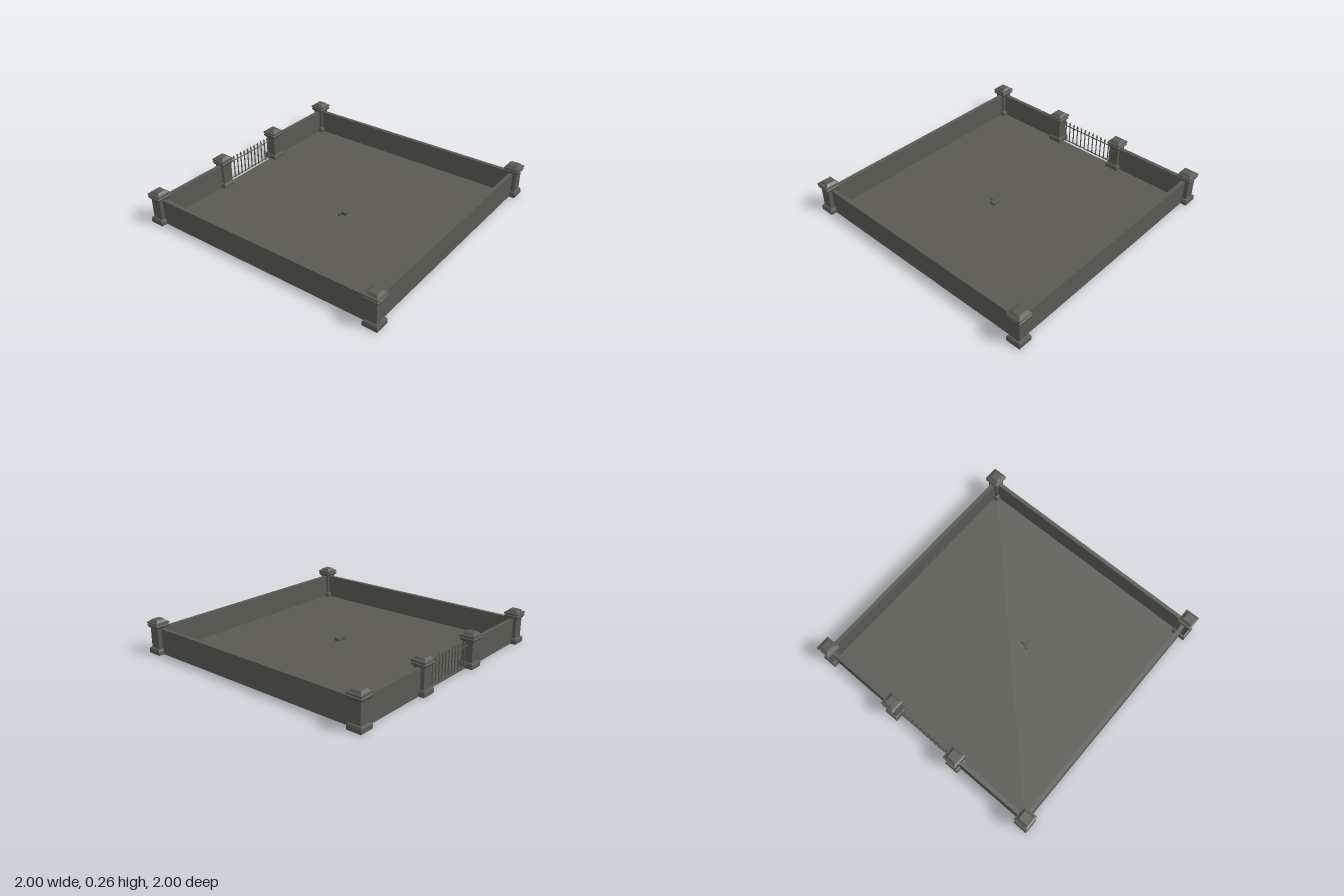
import * as THREE from 'three';

export function createModel() {
  const model = new THREE.Group();
  model.name = 'walledYard';
  const stone = new THREE.MeshStandardMaterial({ color: 0x5a5a53, flatShading: true });
  stone.name = 'darkStone';

  const add = (geometry, name, x, y, z, parent = model) => {
    const mesh = new THREE.Mesh(geometry, stone);
    mesh.name = name;
    mesh.position.set(x, y, z);
    parent.add(mesh);
    return mesh;
  };
  // Box placed by its centre in plan and by its underside
  const box = (name, w, h, d, x, y, z, parent) =>
    add(new THREE.BoxGeometry(w, h, d), name, x, y + h / 2, z, parent);

  // Ground slab
  box('floor', 1.88, 0.01, 1.88, 0, 0, 0);

  // Walls, with an opening for the gate on the right side
  const T = 0.03, H = 0.195, E = 0.938;
  for (const s of [-1, 1]) {
    box(s > 0 ? 'frontWall' : 'backWall', 1.88, H, T, 0, 0.003, s * E);
    box('gateSideWall', T, H, 0.62, -E - 0.003, 0.003, s * 0.62);
  }
  box('leftWall', T, H, 1.88, E, 0.003, 0);

  // Square pillar: half widths and heights from foot to cap
  const profile = [
    [0, 0.004], [0.056, 0.004], [0.056, 0.034], [0.05, 0.046], [0.041, 0.048],
    [0.041, 0.2], [0.048, 0.202], [0.056, 0.217], [0.056, 0.224], [0.05, 0.228],
    [0.05, 0.231], [0.057, 0.234], [0.057, 0.245], [0.046, 0.248],
    [0.032, 0.265], [0, 0.265],
  ].map(([r, y]) => new THREE.Vector2(r * Math.SQRT2, y));
  const pillarShape = new THREE.LatheGeometry(profile, 4).rotateY(Math.PI / 4);
  for (const z of [-0.943, 0.943]) {
    for (const x of [-0.943, 0.943]) add(pillarShape, 'cornerPillar', x, 0, z);
  }
  for (const z of [-0.298, 0.298]) add(pillarShape, 'gatePillar', -0.943, 0, z);

  // Gate: twelve spiked bars on two thin rails
  const gate = new THREE.Group();
  gate.name = 'gate';
  gate.position.x = -0.943;
  model.add(gate);
  const bar = new THREE.CylinderGeometry(0.005, 0.005, 0.172, 6);
  const spike = new THREE.ConeGeometry(0.01, 0.027, 6);
  for (let i = 0; i < 12; i++) {
    const z = (i - 5.5) * 0.0398;
    add(bar, 'gateBar', 0, 0.109, z, gate);
    add(spike, 'gateSpike', 0, 0.208, z, gate);
  }
  for (const y of [0.027, 0.17]) box('gateRail', 0.006, 0.006, 0.53, 0, y, 0, gate);

  // Small block and pebble lying on the floor
  box('smallBlock', 0.042, 0.025, 0.042, 0.085, 0.01, 0.08);
  add(new THREE.CylinderGeometry(0.012, 0.012, 0.02, 10), 'pebble', 0.062, 0.02, 0.12);

  return model;
}
